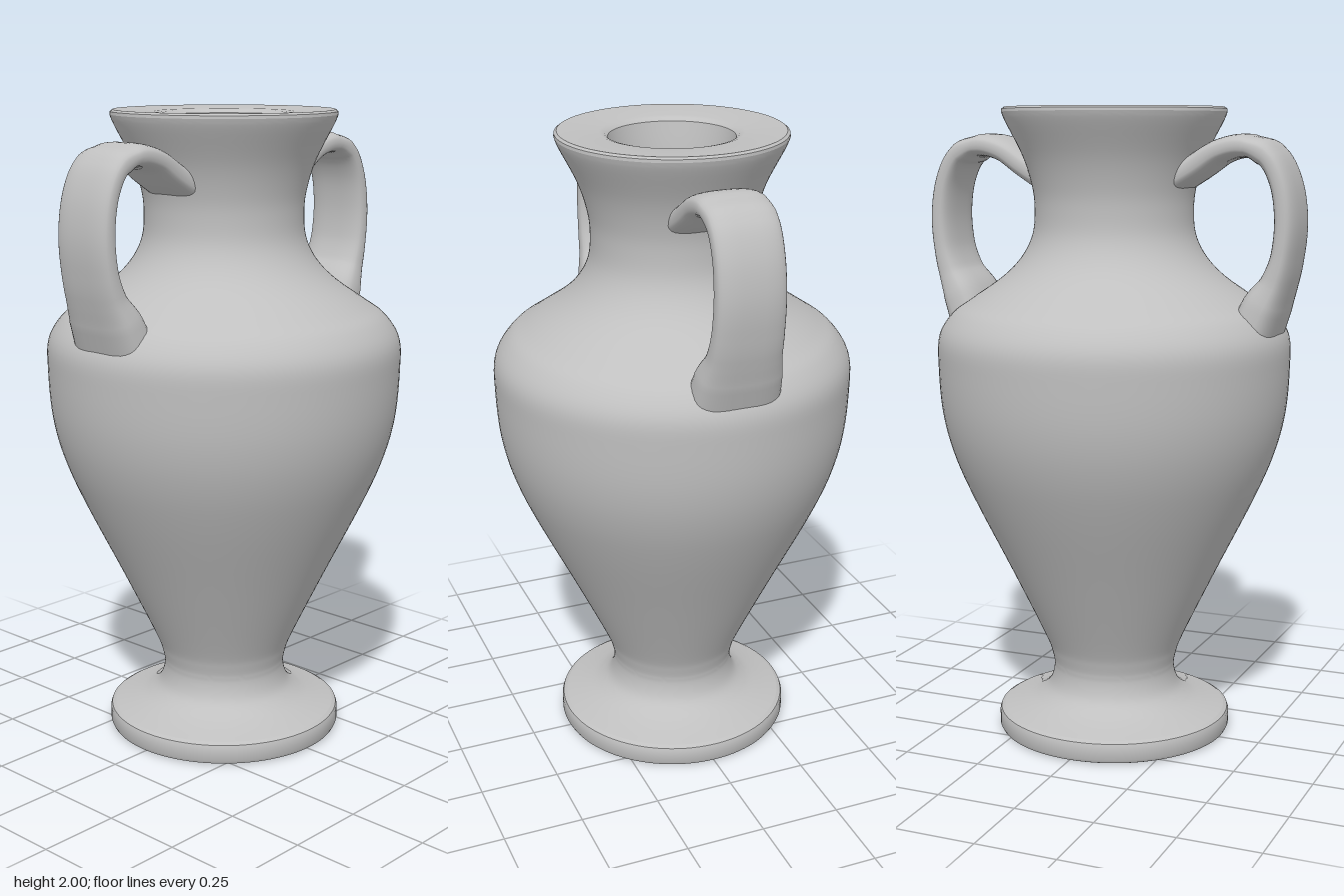
import * as THREE from 'three';
import { toCreasedNormals } from 'three/addons/utils/BufferGeometryUtils.js';

const vec = ([x, y]) => new THREE.Vector2(x, y);

// Smooth profile through a few points
const smooth = (pts, n) => new THREE.SplineCurve(pts.map(vec)).getPoints(n);

function lathe(name, points, material) {
  const mesh = new THREE.Mesh(toCreasedNormals(new THREE.LatheGeometry(points, 96), 0.6), material);
  mesh.name = name;
  return mesh;
}

// Strap handle: rounded-rectangle sections swept along a curve in the xy plane
function handleGeometry() {
  // x, y, half thickness, half width
  const stations = [
    [0.2, 1.775, 0.045, 0.112], [0.28, 1.818, 0.04, 0.106], [0.36, 1.867, 0.037, 0.105],
    [0.44, 1.882, 0.036, 0.105], [0.513, 1.852, 0.036, 0.105], [0.555, 1.78, 0.035, 0.105],
    [0.574, 1.67, 0.036, 0.106], [0.566, 1.56, 0.037, 0.108], [0.543, 1.48, 0.045, 0.113],
    [0.507, 1.41, 0.063, 0.13], [0.47, 1.32, 0.07, 0.14],
  ];
  const path = new THREE.CatmullRomCurve3(stations.map(([x, y]) => new THREE.Vector3(x, y, 0)));
  const sizes = new THREE.CatmullRomCurve3(stations.map(([, , t, w]) => new THREE.Vector3(t, w, 0)));
  const rows = 60, sides = 32, pos = [], index = [];
  const power = (v) => Math.sign(v) * Math.pow(Math.abs(v), 0.7);
  for (let i = 0; i <= rows; i++) {
    const p = path.getPoint(i / rows), t = path.getTangent(i / rows), s = sizes.getPoint(i / rows);
    for (let j = 0; j < sides; j++) {
      const a = (j / sides) * Math.PI * 2;
      const out = s.x * power(Math.cos(a));
      pos.push(p.x - t.y * out, p.y + t.x * out, s.y * power(Math.sin(a)));
      if (i < rows) {
        const k = i * sides + j, n = i * sides + ((j + 1) % sides);
        index.push(k, k + sides, n, n, k + sides, n + sides);
      }
    }
  }
  const geo = new THREE.BufferGeometry();
  geo.setAttribute('position', new THREE.Float32BufferAttribute(pos, 3));
  geo.setIndex(index);
  geo.computeVertexNormals();
  return geo;
}

export function createModel() {
  const group = new THREE.Group();
  group.name = 'amphora';
  const clay = new THREE.MeshStandardMaterial({ color: 0xc0c0c0, side: THREE.DoubleSide });
  clay.name = 'grey clay';

  // Disc foot with softened edges
  group.add(lathe('foot', [
    [0, 0], [0.36, 0], [0.371, 0.005], [0.376, 0.015], [0.376, 0.055], [0.372, 0.066], [0.36, 0.073],
  ].map(vec), clay));

  // Outer wall: stem, belly, shoulder, neck and flared lip
  group.add(lathe('body', smooth([
    [0.36, 0.073], [0.3, 0.09], [0.25, 0.111], [0.212, 0.145], [0.196, 0.2], [0.203, 0.25], [0.227, 0.315],
    [0.33, 0.53], [0.453, 0.78], [0.515, 0.93], [0.546, 1.06], [0.556, 1.2], [0.552, 1.295],
    [0.51, 1.363], [0.45, 1.407], [0.35, 1.477], [0.29, 1.54], [0.256, 1.61], [0.249, 1.69],
    [0.257, 1.76], [0.285, 1.85], [0.338, 1.955], [0.35, 1.985],
  ], 110), clay));

  // Broad flat rim
  group.add(lathe('rim', [[0.35, 1.985], [0.349, 1.994], [0.341, 2], [0.215, 1.993], [0.2, 1.989], [0.19, 1.98]].map(vec), clay));

  // Hollow inside and its floor
  const inner = smooth([
    [0.19, 1.98], [0.175, 1.9], [0.158, 1.78], [0.156, 1.66], [0.2, 1.54], [0.36, 1.38], [0.4, 1.25],
    [0.39, 1.05], [0.33, 0.78], [0.2, 0.48], [0.125, 0.32], [0.112, 0.24],
  ], 50);
  group.add(lathe('inside', [...inner, vec([0, 0.24])], clay));

  // Pair of handles
  const geo = handleGeometry();
  for (const side of ['left', 'right']) {
    const handle = new THREE.Mesh(geo, clay);
    handle.name = side + 'Handle';
    if (side === 'right') handle.rotation.y = Math.PI;
    group.add(handle);
  }
  return group;
}
